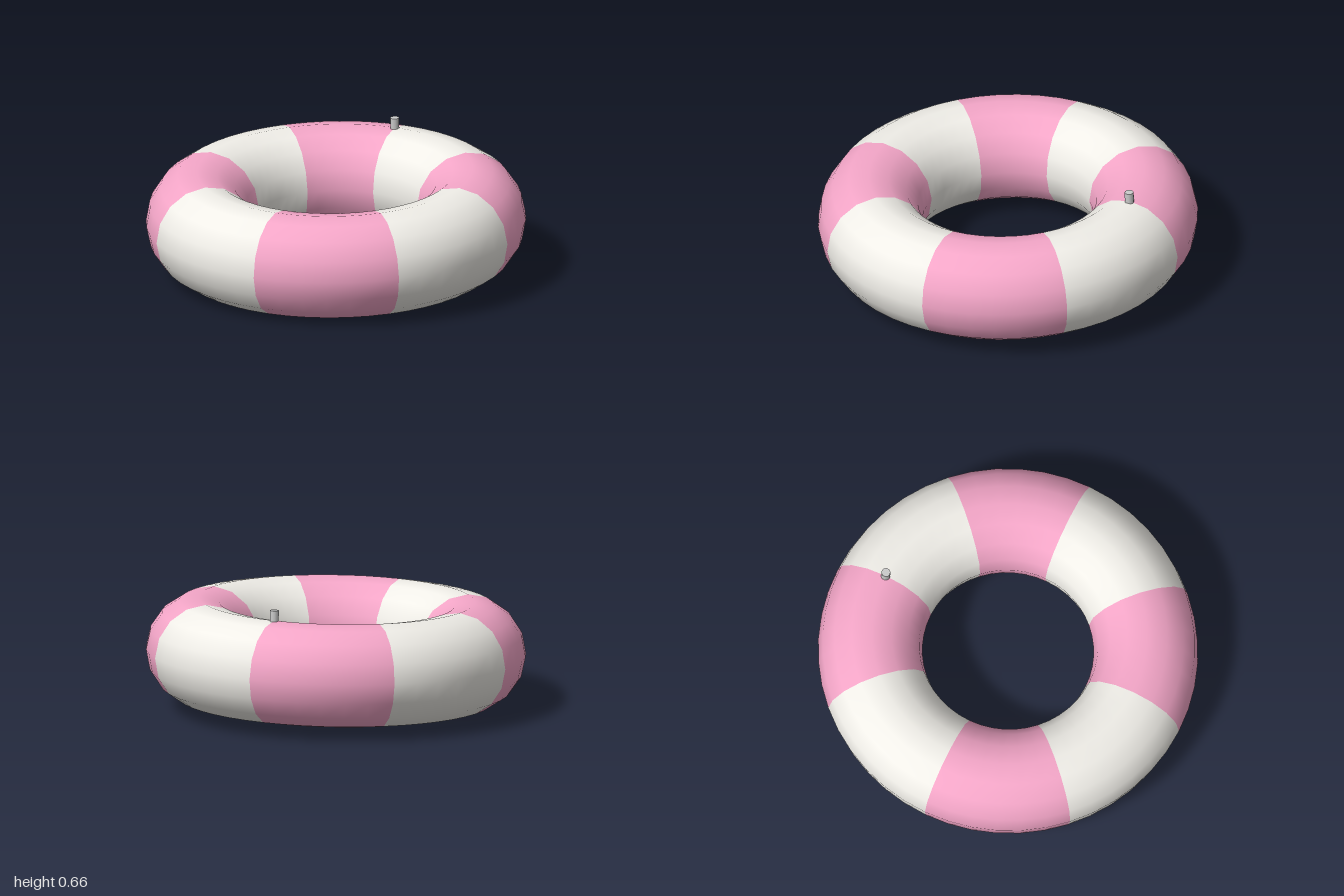
import * as THREE from 'three';

const RING = 0.725, TUBE = 0.275, STRIPES = 8;
const TILT = THREE.MathUtils.degToRad(2);
const OFFSET = THREE.MathUtils.degToRad(41);

export function createModel() {
  const model = new THREE.Group();
  model.name = 'swimRing';

  const pink = new THREE.MeshStandardMaterial({ color: 0xf4a6c8 });
  const white = new THREE.MeshStandardMaterial({ color: 0xf0eee8 });
  const grey = new THREE.MeshStandardMaterial({ color: 0xcccccc });

  // Inflated tube: alternating stripes, each an eighth of the torus
  const arc = (Math.PI * 2) / STRIPES;
  const tube = new THREE.Group();
  tube.name = 'tube';
  for (let i = 0; i < STRIPES; i++) {
    const geometry = new THREE.TorusGeometry(RING, TUBE, 16, 6, arc);
    geometry.rotateZ(OFFSET + i * arc).rotateX(Math.PI / 2);
    const stripe = new THREE.Mesh(geometry, i % 2 ? white : pink);
    stripe.name = i % 2 ? 'whiteStripe' : 'pinkStripe';
    tube.add(stripe);
  }
  model.add(tube);

  // Air valve on top of the back, on a stripe seam
  const valve = new THREE.Mesh(new THREE.CylinderGeometry(0.024, 0.024, 0.07, 10), grey);
  valve.name = 'valve';
  const seam = OFFSET + 5 * arc;
  valve.position.set(Math.cos(seam) * RING, 0.295, Math.sin(seam) * RING);
  model.add(valve);

  // Lies slightly tilted, with the front lower than the back
  model.rotation.x = TILT;
  model.position.y = TUBE + RING * Math.sin(TILT);

  const root = new THREE.Group();
  root.name = 'model';
  root.add(model);
  return root;
}
